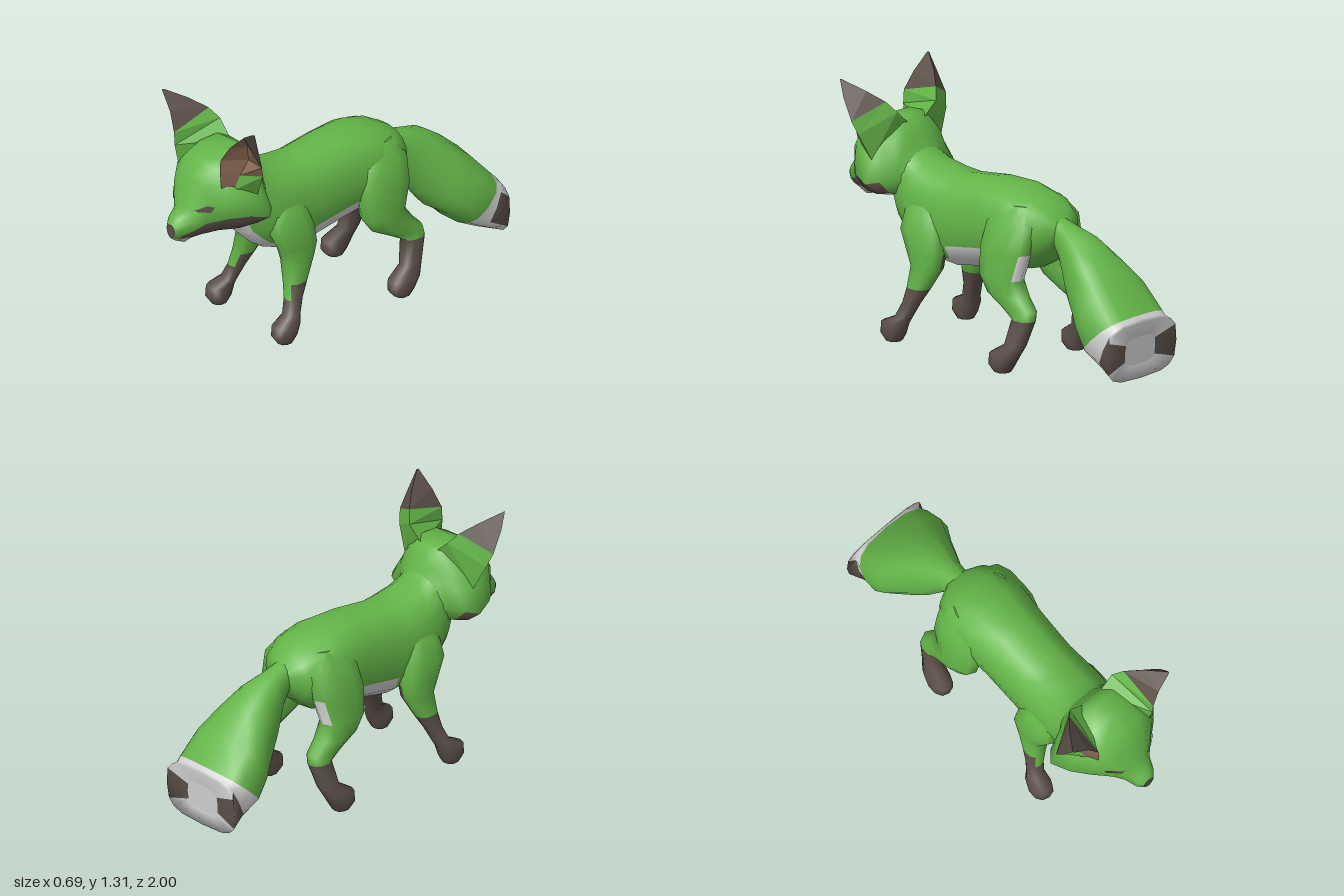
import * as THREE from 'three';

const flat = (name, color) => { const m = new THREE.MeshStandardMaterial({ color }); m.name = name; return m; };
const MATS = [flat('greenFur', 0x64b548), flat('darkBrown', 0x5c5048), flat('whiteFur', 0xd4d4d4), flat('innerEar', 0x8a6a55)];
const GREEN = 0, DARK = 1, WHITE = 2, INNER = 3;
const V = (x, y, z) => new THREE.Vector3(x, y, z);

// Skin closed rings of points; colour(i, j) picks the material of each patch, caps = [first, last]
function loft(name, rings, colour, caps = [GREEN, GREEN], faceted = false) {
  const n = rings[0].length, pos = [], tris = [];
  const put = (p) => pos.push(p.x, p.y, p.z) / 3 - 1;
  rings.forEach((r) => r.forEach(put));
  for (let i = 0; i < rings.length - 1; i++) for (let j = 0; j < n; j++) {
    const a = i * n + j, b = i * n + (j + 1) % n, c = a + n, d = b + n, m = colour(i, j);
    tris.push([m, a, c, b], [m, b, c, d]);
  }
  [rings[0], rings[rings.length - 1]].forEach((r, k) => {
    const mid = r.reduce((s, p) => s.add(p), V(0, 0, 0)).divideScalar(n), c = put(mid);
    const ids = r.map(put);
    ids.forEach((id, j) => {
      const next = ids[(j + 1) % n];
      tris.push(k ? [caps[1], c, next, id] : [caps[0], c, id, next]);
    });
  });
  // Turn every face outward, whatever way the rings run
  const at = (i) => V(pos[3 * i], pos[3 * i + 1], pos[3 * i + 2]);
  const volume = tris.reduce((s, t) => s + at(t[1]).dot(at(t[2]).cross(at(t[3]))), 0);
  if (volume < 0) tris.forEach((t) => ([t[2], t[3]] = [t[3], t[2]]));
  tris.sort((p, q) => p[0] - q[0]);
  let geo = new THREE.BufferGeometry();
  geo.setAttribute('position', new THREE.Float32BufferAttribute(pos, 3));
  geo.setIndex(tris.flatMap((t) => t.slice(1)));
  MATS.forEach((_, m) => {
    const first = tris.findIndex((t) => t[0] === m);
    if (first >= 0) geo.addGroup(first * 3, tris.filter((t) => t[0] === m).length * 3, m);
  });
  if (faceted) geo = geo.toNonIndexed();
  geo.computeVertexNormals();
  const mesh = new THREE.Mesh(geo, MATS);
  mesh.name = name;
  return mesh;
}

// Symmetric ring between a top and a bottom point (z, y) with half width w
const N = 16;
const soft = (v, p) => Math.sign(v) * Math.abs(v) ** p;
function hoop([tz, ty, bz, by, w], p) {
  return Array.from({ length: N }, (_, j) => {
    const a = j / N * Math.PI * 2, c = soft(Math.cos(a), p);
    return V(w * soft(Math.sin(a), p), (ty + by) / 2 + c * (ty - by) / 2, (tz + bz) / 2 + c * (tz - bz) / 2);
  });
}

// Body: white chest, wider white belly
function makeBody() {
  const s = [
    [.57, 1.03, .63, .69, .15], [.5, .95, .58, .56, .17], [.42, .91, .48, .46, .195],
    [.3, .89, .37, .415, .2], [.2, .885, .2, .4, .195], [0, .91, 0, .44, .2],
    [-.18, .91, -.17, .48, .215], [-.32, .87, -.32, .5, .215], [-.41, .82, -.4, .57, .155], [-.46, .75, -.45, .65, .06],
  ];
  return loft('body', s.map((r) => hoop(r, .85)), (i, j) => {
    const spread = i > 3 ? 3 : 2;
    return i < 7 && j >= 8 - spread && j < 8 + spread ? WHITE : GREEN;
  });
}

// Tail: broad brush cut off square, with dark patches at both sides of the tip
function makeTail() {
  const s = [
    [-.4, .79, -.42, .65, .06], [-.52, .755, -.48, .54, .08], [-.63, .72, -.555, .38, .13],
    [-.74, .64, -.64, .27, .18], [-.86, .53, -.7, .23, .235], [-.98, .388, -.75, .175, .24],
    [-.995, .37, -.87, .11, .22], [-1, .355, -.985, .06, .25], [-.985, .28, -.975, .13, .11],
  ];
  const side = (j) => j === 3 || j === 4 || j === 11 || j === 12;
  return loft('tail', s.map((r, i) => hoop(r, i > 5 ? .58 : i > 4 ? .7 : .85)),
    (i, j) => (i < 5 ? GREEN : i > 5 && side(j) ? DARK : WHITE), [GREEN, WHITE]);
}

// Head: half outlines (x, y) from crown to throat, mirrored, at steps of z
function makeHead() {
  const s = [
    [.47, [0, .9], [.06, .89], [.1, .86], [.12, .8], [.11, .73], [.07, .69], [0, .67]],
    [.53, [0, 1], [.08, .99], [.14, .94], [.17, .88], [.18, .81], [.14, .74], [0, .68]],
    [.565, [0, 1.08], [.09, 1.08], [.17, .99], [.21, .9], [.27, .81], [.2, .74], [0, .68]],
    [.62, [0, 1.1], [.1, 1.1], [.2, 1], [.25, .91], [.32, .8], [.23, .73], [0, .68]],
    [.72, [0, 1.09], [.11, 1.09], [.21, .99], [.24, .91], [.28, .82], [.2, .72], [0, .67]],
    [.8, [0, 1.05], [.12, 1.045], [.19, .96], [.2, .88], [.21, .805], [.13, .705], [0, .65]],
    [.87, [0, .975], [.08, .965], [.13, .91], [.13, .85], [.125, .765], [.08, .685], [0, .63]],
    [.91, [0, .835], [.04, .83], [.07, .81], [.085, .77], [.08, .72], [.05, .67], [0, .62]],
    [.97, [0, .79], [.03, .785], [.055, .76], [.06, .74], [.055, .7], [.03, .67], [0, .65]],
    [1, [0, .75], [.018, .745], [.03, .73], [.032, .72], [.025, .695], [.012, .68], [0, .675]],
  ];
  const rings = s.map(([z, ...h]) => [...h, ...h.slice(1, -1).reverse().map(([x, y]) => [-x, y])].map(([x, y]) => V(x, y, z)));
  return loft('head', rings, (i, j) => {
    const row = j < 6 ? j : 11 - j;
    return row < 4 || i < 2 ? GREEN : row === 5 ? WHITE : i === 8 ? GREEN : DARK;
  }, [GREEN, DARK]);
}

// Ear: inner rim, back ridge, outer rim and hollow at each level
function makeEar(s) {
  const levels = [
    [[.17, .96, .81], [.05, 1.07, .57], [.25, .91, .64], [.2, .95, .755]],
    [[.178, 1.07, .828], [.14, 1.15, .565], [.32, 1.05, .665], [.225, 1.04, .735]],
    [[.183, 1.14, .828], [.182, 1.205, .605], [.343, 1.12, .69], [.25, 1.13, .7]],
    [[.235, 1.23, .81], [.245, 1.26, .68], [.337, 1.23, .75], [.275, 1.23, .73]],
    [[.318, 1.315, .795], [.318, 1.318, .785], [.323, 1.315, .787], [.32, 1.315, .79]],
  ];
  return loft('ear', levels.map((r) => r.map(([x, y, z]) => V(s * x, y, z))),
    (i, j) => (j === 3 || (j === 2 && i > 0) ? INNER : i < 2 ? GREEN : DARK), [GREEN, DARK], true);
}

// Leg: level rings given as x, y, z, half width, half depth
function makeLeg(name, s, rows, colour) {
  const n = 10;
  const rings = rows.map(([x, y, z, rx, rz]) => Array.from({ length: n }, (_, j) => {
    const a = j / n * Math.PI * 2;
    return V(s * (x + rx * soft(Math.sin(a), .85)), y, z + rz * soft(Math.cos(a), .85));
  }));
  return loft(name, rings, colour, [GREEN, DARK]);
}
const FRONT_LEG = [
  [.09, .8, .37, .04, .06], [.15, .69, .37, .06, .11], [.172, .58, .36, .07, .135], [.178, .48, .33, .07, .115],
  [.175, .4, .325, .066, .09], [.2, .29, .358, .052, .064], [.222, .21, .388, .044, .046], [.245, .135, .42, .044, .044],
  [.26, .1, .465, .057, .076], [.26, .04, .478, .058, .066], [.26, .003, .475, .04, .042],
];
const HIND_LEG = [
  [.1, .84, -.24, .06, .09], [.15, .75, -.24, .08, .15], [.18, .61, -.225, .08, .16], [.195, .47, -.21, .075, .13],
  [.205, .39, -.265, .065, .13], [.21, .33, -.345, .055, .105], [.22, .285, -.385, .05, .065], [.245, .15, -.35, .045, .06],
  [.263, .095, -.295, .056, .09], [.265, .035, -.275, .056, .07], [.265, .003, -.28, .04, .045],
];
// Green runs down the front of the shin in a point; dark fleck at the elbow
const frontColour = (i, j) => (i > 5 || (i === 5 && j > 0 && j < 9) || (i === 3 && j === 5) ? DARK : GREEN);
// White patch at the back of the thigh
const hindColour = (i, j) => (i > 5 ? DARK : i === 2 && (j === 4 || j === 5) ? WHITE : GREEN);

// Eye: slanted thin patch laid on the face
function makeEye(s, head) {
  const ray = new THREE.Raycaster();
  const pts = [[.128, .852], [.162, .866], [.135, .873], [.08, .835], [.098, .83], [.15, .836]].map(([x, y]) => {
    ray.set(V(s * x, y, 2), V(0, 0, -1));
    return V(s * x, y, ray.intersectObject(head)[0].point.z + .008);
  });
  const geo = new THREE.BufferGeometry().setFromPoints(pts);
  const idx = [];
  for (let k = 1; k <= 5; k++) { const m = k % 5 + 1; idx.push(0, ...(s > 0 ? [k, m] : [m, k])); }
  geo.setIndex(idx);
  geo.computeVertexNormals();
  const eye = new THREE.Mesh(geo, MATS[DARK]);
  eye.name = 'eye';
  return eye;
}

export function createModel() {
  const fox = new THREE.Group();
  fox.name = 'fox';
  const head = makeHead();
  fox.add(makeBody(), makeTail(), head);
  for (const s of [1, -1]) {
    const parts = [makeEar(s), makeEye(s, head), makeLeg('frontLeg', s, FRONT_LEG, frontColour), makeLeg('hindLeg', s, HIND_LEG, hindColour)];
    parts.forEach((p) => { p.name = (s > 0 ? 'left ' : 'right ') + p.name; fox.add(p); });
  }
  return fox;
}
